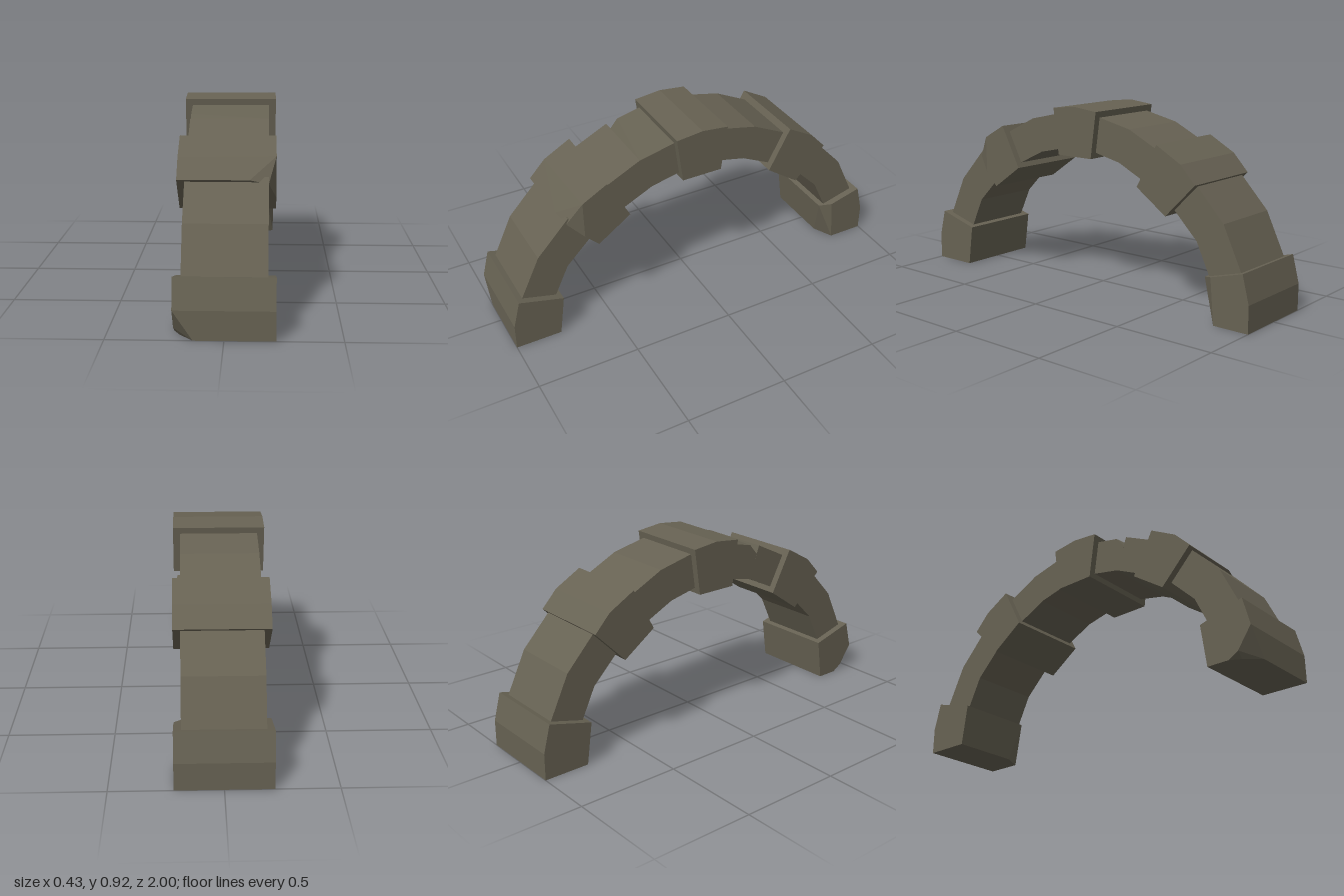
import * as THREE from 'three';
import { ConvexGeometry } from 'three/addons/geometries/ConvexGeometry.js';

const WIDE = 0.217, NARROW = 0.183;

export function createModel() {
  const arch = new THREE.Group();
  arch.name = 'stoneArch';
  const stone = new THREE.MeshStandardMaterial({ color: 0x676253 });
  stone.name = 'olive stone';

  // Convex stone: a [z, y] profile stretched across x.
  // chips swaps a corner for cut points; keys are profile index plus side, e.g. '0+'.
  function block(name, profile, halfWidth, dir, chips = {}) {
    const points = [];
    profile.forEach(([z, y], i) => {
      for (const [sign, x] of [['+', halfWidth], ['-', -halfWidth]]) {
        const cut = chips[i + sign] || [[x, y, z]];
        for (const [px, py, pz] of cut) points.push(new THREE.Vector3(px, py, pz * dir));
      }
    });
    const mesh = new THREE.Mesh(new ConvexGeometry(points), stone);
    mesh.name = name;
    arch.add(mesh);
  }

  // Profiles of one half of the arch
  const foot = [[1, 0], [1, 0.13], [0.965, 0.265], [0.745, 0.205], [0.773, 0]];
  const shoulder = [[0.708, 0.62], [0.628, 0.705], [0.493, 0.78], [0.383, 0.573], [0.548, 0.458]];
  const spans = {
    lowerSpanBottom: [[0.945, 0.24], [0.84, 0.46], [0.70, 0.36], [0.785, 0.18]],
    lowerSpanTop: [[0.84, 0.46], [0.68, 0.63], [0.53, 0.53], [0.70, 0.36]],
    upperSpanBottom: [[0.50, 0.737], [0.31, 0.83], [0.25, 0.667], [0.43, 0.58]],
    upperSpanTop: [[0.31, 0.83], [0.11, 0.875], [0.08, 0.705], [0.25, 0.667]],
  };

  // Broken corners, different on each half
  const frontFootChip = {
    '0-': [[-0.13, 0, 1], [-0.19, 0, 0.93], [-WIDE, 0.03, 0.93], [-WIDE, 0, 0.88]],
  };
  const backFootChip = {
    '3+': [[0.18, 0.205, 0.745], [WIDE, 0.22, 0.80]],
    '4+': [[0.12, 0, 0.773], [WIDE, 0, 0.82]],
  };
  const shoulderChip = {
    '0+': [[0.10, 0.62, 0.708], [0.183, 0.60, 0.69], [WIDE, 0.525, 0.615]],
    '1+': [[WIDE, 0.71, 0.618]],
  };
  const crack = { '0-': [[-NARROW, 0.843, 0.25], [-NARROW, 0.79, 0.295]] };

  for (const [side, dir] of [['front', 1], ['back', -1]]) {
    const front = dir === 1;
    block(side + 'Foot', foot, WIDE, dir, front ? frontFootChip : backFootChip);
    block(side + 'ShoulderStone', shoulder, WIDE, dir, front ? shoulderChip : {});
    for (const [name, profile] of Object.entries(spans)) {
      const chips = front && name === 'upperSpanTop' ? crack : {};
      block(side + name[0].toUpperCase() + name.slice(1), profile, NARROW, dir, chips);
    }
  }

  // Stone at the crown
  block('keystone', [[0.135, 0.90], [0, 0.915], [-0.135, 0.90], [-0.103, 0.672], [0.103, 0.672]], WIDE, 1);
  return arch;
}
